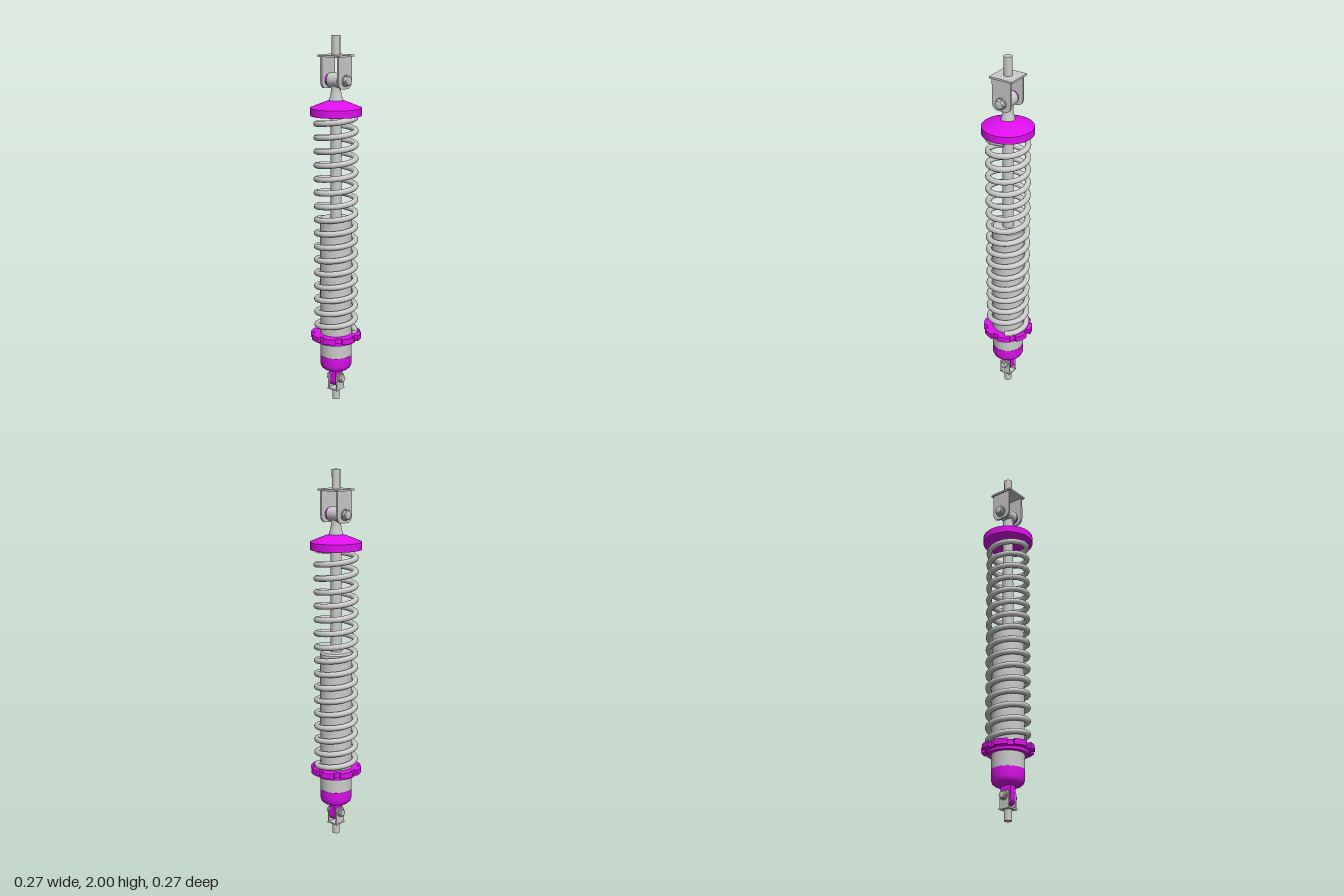
import * as THREE from 'three';
import { toCreasedNormals } from 'three/addons/utils/BufferGeometryUtils.js';

const grey = new THREE.MeshStandardMaterial({ color: 0xcccccc });
const magenta = new THREE.MeshStandardMaterial({ color: 0xe010ee });

export function createModel() {
  const model = new THREE.Group();

  function add(name, geometry, material = grey, parent = model) {
    const mesh = new THREE.Mesh(geometry, material);
    mesh.name = name;
    parent.add(mesh);
    return mesh;
  }
  // Turned part around the y axis, profile of [radius, y] from bottom to top
  function turned(name, profile, material, parent) {
    const points = profile.map(([r, y]) => new THREE.Vector2(r, y));
    return add(name, toCreasedNormals(new THREE.LatheGeometry(points, 48), 0.5), material, parent);
  }
  function rod(name, radius, y0, y1, material, parent) {
    return turned(name, [[0, y0], [radius, y0], [radius, y1], [0, y1]], material, parent);
  }
  // Cylinder lying along x
  function crossPin(name, radius, length, x, y, material, parent, sides = 32) {
    const geometry = new THREE.CylinderGeometry(radius, radius, length, sides).rotateZ(Math.PI / 2);
    const mesh = add(name, geometry, material, parent);
    mesh.position.set(x, y, 0);
    return mesh;
  }

  // Clevis bracket: stud, plate, two rounded ears and a cross bolt.
  // It hangs downwards from the plate; pivot is at the local origin.
  function clevis(name, s) {
    const group = new THREE.Group();
    group.name = name;
    model.add(group);
    rod('stud', s.studRadius, s.plateY, s.studEnd, grey, group);
    add('plate', new THREE.BoxGeometry(s.plate * 2, s.plateThick, s.plate * 2), grey, group)
      .position.y = s.plateY - s.plateThick / 2;

    const ear = new THREE.Shape();
    ear.moveTo(-s.earHalf, s.plateY - s.plateThick / 2);
    ear.lineTo(-s.earHalf, s.earShoulder);
    ear.quadraticCurveTo(-s.earHalf, s.earEnd, -s.earHalf * 0.3, s.earEnd);
    ear.lineTo(s.earHalf * 0.3, s.earEnd);
    ear.quadraticCurveTo(s.earHalf, s.earEnd, s.earHalf, s.earShoulder);
    ear.lineTo(s.earHalf, s.plateY - s.plateThick / 2);
    const earGeometry = new THREE.ExtrudeGeometry(ear, { depth: s.earThick, bevelEnabled: false, curveSegments: 10 });
    earGeometry.translate(0, 0, -s.earThick / 2).rotateY(Math.PI / 2);

    for (const side of [1, -1]) {
      add('ear', toCreasedNormals(earGeometry, 0.5), grey, group).position.x = side * s.earX;
      // Washer, hexagonal head and rounded end
      const b = s.boltRadius, outer = s.earX + s.earThick / 2;
      crossPin('washer', b, b * 0.25, side * (outer + b * 0.12), 0, grey, group);
      const hex = new THREE.CylinderGeometry(b * 0.95, b * 0.95, b * 0.5, 6);
      const head = add('boltHead', toCreasedNormals(hex, 0.5), grey, group);
      head.rotation.z = -side * Math.PI / 2;
      head.position.x = side * (outer + b * 0.45);
      const end = turned('boltEnd', [[b * 0.82, 0], [b * 0.72, b * 0.18], [b * 0.5, b * 0.28], [0, b * 0.3]], grey, group);
      end.rotation.z = -side * Math.PI / 2;
      end.position.x = side * (outer + b * 0.7);
    }
    crossPin('boltShank', s.boltRadius * 0.6, s.earX * 2, 0, 0, grey, group);
    return group;
  }

  const top = clevis('upperClevis', {
    studRadius: 0.022, studEnd: 0.232, plateY: 0.132, plate: 0.068, plateThick: 0.01,
    earHalf: 0.056, earShoulder: 0.0, earEnd: -0.043, earX: 0.055, earThick: 0.011, boltRadius: 0.03
  });
  top.position.y = 1.768;

  const bottom = clevis('lowerClevis', {
    studRadius: 0.02, studEnd: 0.125, plateY: 0.067, plate: 0.033, plateThick: 0.008,
    earHalf: 0.03, earShoulder: -0.005, earEnd: -0.027, earX: 0.028, earThick: 0.008, boltRadius: 0.023
  });
  bottom.rotation.z = Math.PI;
  bottom.position.y = 0.125;

  // Upper eye with spacers and flared neck
  crossPin('upperEye', 0.039, 0.068, 0, 1.768);
  for (const side of [1, -1]) crossPin('spacer', 0.031, 0.016, side * 0.042, 1.768, magenta);
  turned('upperNeck', [[0.038, 1.655], [0.036, 1.67], [0.03, 1.69], [0.027, 1.71], [0.027, 1.75]]);

  // Upper spring seat
  turned('upperSpringSeat',
    [[0, 1.585], [0.137, 1.585], [0.137, 1.625], [0.09, 1.645], [0.04, 1.664], [0, 1.664]], magenta);

  // Damper rod and body
  rod('damperRod', 0.029, 1.0, 1.6);
  turned('damperBody', [[0, 0.26], [0.086, 0.26], [0.086, 1.028], [0.078, 1.038], [0, 1.038]]);

  // Coil spring
  const turns = 16, start = 1.97, coil = [];
  for (let i = 0; i <= turns * 24; i++) {
    const t = start + (i / 24) * Math.PI * 2;
    coil.push(new THREE.Vector3(0.104 * Math.sin(t), 0.395 + 1.18 * i / (turns * 24), 0.104 * Math.cos(t)));
  }
  add('spring', new THREE.TubeGeometry(new THREE.CatmullRomCurve3(coil), turns * 40, 0.0155, 12));
  for (const [p, q] of [[coil[0], coil[1]], [coil[coil.length - 1], coil[coil.length - 2]]]) {
    const cap = add('springEnd', new THREE.CircleGeometry(0.0155, 12));
    cap.position.copy(p);
    cap.lookAt(p.clone().multiplyScalar(2).sub(q));
  }

  // Notched adjuster ring
  const ring = new THREE.Shape();
  const teeth = 8, pitch = Math.PI * 2 / teeth, gap = 0.13;
  for (let i = 0; i < teeth; i++) {
    const a = i * pitch;
    ring.absarc(0, 0, 0.118, a - gap, a + gap, false);
    ring.absarc(0, 0, 0.137, a + gap, a + pitch - gap, false);
  }
  ring.closePath();
  ring.holes.push(new THREE.Path().absarc(0, 0, 0.08, 0, Math.PI * 2, true));
  const ringGeometry = new THREE.ExtrudeGeometry(ring, { depth: 0.03, bevelEnabled: false, curveSegments: 8 });
  ringGeometry.rotateX(-Math.PI / 2);
  add('adjusterRing', toCreasedNormals(ringGeometry, 0.5), magenta).position.y = 0.36;
  turned('lockRing', [[0.08, 0.343], [0.108, 0.343], [0.108, 0.362], [0.08, 0.362]], magenta);

  // Rounded lower cap and mounting tab
  turned('lowerCap', [[0, 0.18], [0.055, 0.18], [0.07, 0.184], [0.081, 0.195], [0.087, 0.215],
    [0.087, 0.262], [0.08, 0.266], [0, 0.266]], magenta);
  const tab = new THREE.Shape();
  tab.moveTo(-0.032, 0.19);
  tab.lineTo(-0.032, 0.115);
  tab.absarc(0, 0.112, 0.032, Math.PI, Math.PI * 2, false);
  tab.lineTo(0.032, 0.19);
  const tabGeometry = new THREE.ExtrudeGeometry(tab, { depth: 0.042, bevelEnabled: false, curveSegments: 16 });
  tabGeometry.translate(0, 0, -0.021).rotateY(Math.PI / 2);
  add('lowerTab', toCreasedNormals(tabGeometry, 0.5), magenta);

  return model;
}
